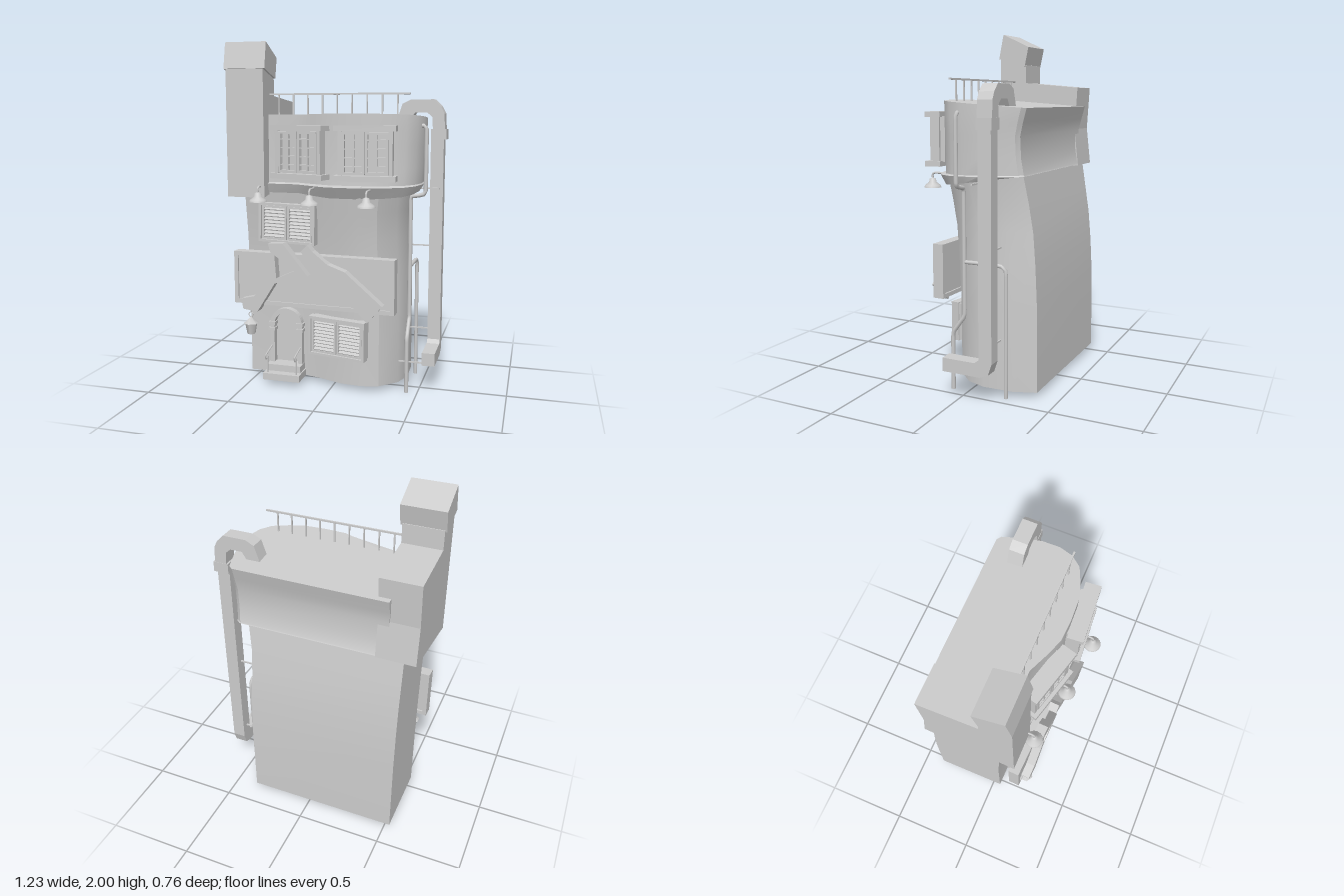
import * as THREE from 'three';
import { toCreasedNormals } from 'three/addons/utils/BufferGeometryUtils.js';

const mat = new THREE.MeshStandardMaterial({ color: 0xcccccc, side: THREE.DoubleSide });
const V = (x, y, z) => new THREE.Vector3(x, y, z);

function add(parent, name, geo, x = 0, y = 0, z = 0) {
  const m = new THREE.Mesh(geo, mat);
  m.name = name;
  m.position.set(x, y, z);
  parent.add(m);
  return m;
}
const box = (p, name, w, h, d, x, y, z) => add(p, name, new THREE.BoxGeometry(w, h, d), x, y, z);

function group(parent, name, x, y, z, ry = 0, rz = 0) {
  const g = new THREE.Group();
  g.name = name;
  g.position.set(x, y, z);
  g.rotation.set(0, ry, rz);
  parent.add(g);
  return g;
}

const shapeOf = pts => new THREE.Shape(pts.map(p => new THREE.Vector2(...p)));
const extrude = (shape, depth) =>
  new THREE.ExtrudeGeometry(shape, { depth, bevelEnabled: false, curveSegments: 10 });

// Outline in (z, y), extruded between two x positions
function sideExtrude(parent, name, pts, x0, x1) {
  return add(parent, name, extrude(shapeOf(pts), x1 - x0).rotateY(-Math.PI / 2), x1);
}

function tube(parent, name, pts, r, sides = 8) {
  const curve = new THREE.CatmullRomCurve3(pts.map(p => V(...p)), false, 'catmullrom', 0.15);
  return add(parent, name, new THREE.TubeGeometry(curve, pts.length * 6, r, sides));
}

// Skin through rings of equal length, closed at both ends
function loft(rings) {
  const n = rings[0].length, idx = [];
  rings.slice(1).forEach((_, r) => {
    for (let i = 0; i < n; i++) {
      const a = r * n + i, b = r * n + (i + 1) % n;
      idx.push(a, a + n, b, b, a + n, b + n);
    }
  });
  const cap = ring => THREE.ShapeUtils.triangulateShape(ring.map(p => new THREE.Vector2(p.x, p.z)), []);
  const top = (rings.length - 1) * n;
  cap(rings[0]).forEach(f => idx.push(...f));
  cap(rings[rings.length - 1]).forEach(([a, b, c]) => idx.push(top + a, top + c, top + b));
  const g = new THREE.BufferGeometry().setFromPoints(rings.flat());
  g.setIndex(idx);
  return toCreasedNormals(g, 0.5);
}

// Rectangular frame of four bars around the origin
function frame(p, name, w, h, t, d, z = 0) {
  for (const s of [-1, 1]) {
    box(p, name, w, t, d, 0, s * (h - t) / 2, z);
    box(p, name, t, h - 2 * t, d, s * (w - t) / 2, 0, z);
  }
}

function louvredWindow(parent, x, y, z, ry, rz) {
  const g = group(parent, 'louvredWindow', x, y, z, ry, rz);
  box(g, 'windowBack', 0.34, 0.22, 0.05, 0, 0, -0.02);
  frame(g, 'windowTrim', 0.355, 0.23, 0.014, 0.05, 0.01);
  for (const s of [-1, 1]) {
    const shutter = group(g, 'shutter', s * 0.081, 0, 0.015);
    frame(shutter, 'shutterFrame', 0.157, 0.198, 0.012, 0.025);
    for (let i = 0; i < 9; i++)
      box(shutter, 'slat', 0.135, 0.005, 0.022, 0, -0.08 + i * 0.02, 0).rotation.x = 0.5;
  }
}

function sashWindow(parent, x, z, ry) {
  const g = group(parent, 'sashWindow', x, 1.385, z, ry);
  for (const s of [-1, 1]) {
    box(g, s > 0 ? 'lintel' : 'sill', 0.34, 0.03, 0.09, 0, s * 0.135, 0);
    box(g, 'jamb', 0.022, 0.24, 0.055, s * 0.139, 0, -0.005);
    const sash = group(g, 'sash', s * 0.064, 0, 0.012);
    frame(sash, 'sashFrame', 0.124, 0.23, 0.013, 0.025);
    box(sash, 'mullion', 0.008, 0.21, 0.018, 0, 0, 0);
    for (let i = 0; i < 4; i++)
      box(sash, 'glazingBar', 0.11, 0.007, 0.018, 0, -0.072 + i * 0.048, 0);
  }
  box(g, 'windowPane', 0.27, 0.25, 0.06, 0, 0, -0.03);
}

function lamp(parent, x, z) {
  const g = group(parent, 'wallLamp', x, 1.1, z);
  const shade = [[0.05, 0], [0.046, 0.012], [0.022, 0.03], [0.018, 0.05], [0.004, 0.056]];
  add(g, 'lampShade', new THREE.LatheGeometry(shade.map(p => new THREE.Vector2(...p)), 16));
  add(g, 'bulb', new THREE.SphereGeometry(0.018, 10, 8), 0, 0.015, 0);
  tube(g, 'lampArm', [[0, 0.05, 0], [0, 0.075, 0], [0, 0.085, -0.015], [0, 0.085, -0.1]], 0.006);
}

export function createModel() {
  const root = new THREE.Group();
  root.name = 'crookedHouse';

  // Lower storeys, leaning forward as they rise
  const lower = [[-0.535, -0.378], [0.36, -0.378], [0.405, -0.25], [0.412, -0.08], [0.375, 0.03],
    [0.28, 0.125], [0.18, 0.152], [0.06, 0.14], [-0.08, 0.09], [-0.2, 0.055], [-0.535, 0.05]];
  const lean = [[0.03, 0, 0], [0.5, 0.004, 0], [0.72, 0.016, -0.004], [0.9, 0.032, -0.01],
    [1.05, 0.055, -0.005], [1.2, 0.078, 0.015]];
  add(root, 'lowerWalls', loft(lean.map(([y, dz, dx]) =>
    lower.map(([x, z]) => V(x > 0 ? x + dx : x, y, z + dz)))));

  // Overhanging top storey with its curved ledge
  const upper = [[-0.45, -0.34], [0.43, -0.34], [0.455, -0.32], [0.49, -0.2], [0.507, -0.1], [0.505, 0],
    [0.48, 0.08], [0.43, 0.14], [0.34, 0.18], [0.25, 0.207], [0.12, 0.213], [0, 0.207], [-0.1, 0.17],
    [-0.21, 0.122], [-0.45, 0.12]];
  const levels = [[1.163, -0.15, 1.03, 0.93, 0.95], [1.2, -0.02, 1.22, 0.95, 0.98], [1.207, -0.02, 1, 0.94, 0.97],
    [1.3, 0, 0.98, 0.9, 0.98], [1.42, 0.02, 0.98, 0.89, 0.99], [1.5, 0.05, 0.99, 0.94, 1], [1.583, 0.075, 1, 1, 1]];
  add(root, 'topStorey', loft(levels.map(([y, k, f, b, s]) => upper.map(([x, z]) => {
    const zz = z * (z > 0 ? f : b);
    return V(x * s, y + k * zz, zz);
  }))));

  // Chimney block and tilted cap
  sideExtrude(root, 'chimney', [[0.2, 1.12], [0.2, 1.86], [0.025, 1.81], [0.025, 1.7], [-0.315, 1.67],
    [-0.3, 1.42], [-0.325, 1.2]], -0.608, -0.382);
  sideExtrude(root, 'chimneyCap', [[0.205, 1.85], [0.175, 2], [0.005, 1.92], [0.03, 1.8]], -0.618, -0.37);

  // Roof railing
  const rail = group(root, 'railing', 0, 0, 0.1);
  box(rail, 'handrail', 0.82, 0.01, 0.01, 0.03, 1.708, 0);
  for (let i = 0; i < 9; i++) box(rail, 'railPost', 0.008, 0.13, 0.008, -0.322 + i * 0.0865, 1.645, 0);

  // Windows and lamps
  sashWindow(root, -0.165, 0.215, -0.26);
  sashWindow(root, 0.225, 0.253, 0.08);
  louvredWindow(root, -0.263, 0.967, 0.125, -0.1, -0.02);
  louvredWindow(root, 0.047, 0.315, 0.162, -0.19, -0.01);
  [[-0.408, 0.235], [-0.08, 0.3], [0.248, 0.328]].forEach(p => lamp(root, ...p));

  // Sign board with crossed timbers
  const sign = group(root, 'signBoard', -0.09, 0.647, 0.195, -0.04);
  box(sign, 'board', 0.95, 0.3, 0.045, 0, 0, 0);
  frame(sign, 'boardEdge', 0.965, 0.31, 0.024, 0.065);
  const brace = shapeOf([[-0.34, 0.865], [-0.25, 0.87], [-0.1, 0.69], [-0.3, 0.635], [-0.41, 0.46],
    [-0.5, 0.47], [-0.51, 0.53], [-0.43, 0.55], [-0.34, 0.66], [-0.3, 0.74]]);
  brace.holes.push(new THREE.Path([[-0.3, 0.8], [-0.18, 0.715], [-0.29, 0.665]].map(p => new THREE.Vector2(...p))));
  const plank = shapeOf([[-0.1, 0.87], [-0.07, 0.835], [0.02, 0.765], [0.12, 0.73], [0.335, 0.55],
    [0.25, 0.45], [0.08, 0.63], [-0.03, 0.71], [-0.14, 0.83]]);
  add(sign, 'brace', extrude(brace, 0.06), 0.09, -0.647, 0.015);
  add(sign, 'plank', extrude(plank, 0.055), 0.09, -0.647, 0.025);

  // Hanging lantern
  const lantern = group(root, 'lantern', -0.47, 0.31, 0.215);
  add(lantern, 'lanternBody', new THREE.CylinderGeometry(0.036, 0.024, 0.065, 6), 0, 0.035, 0);
  add(lantern, 'lanternRoof', new THREE.ConeGeometry(0.045, 0.04, 6), 0, 0.087, 0);
  add(lantern, 'lanternRing', new THREE.TorusGeometry(0.014, 0.003, 6, 14), 0, 0.118, 0);
  tube(lantern, 'lanternHook', [[0, 0.13, 0], [0, 0.19, 0], [0, 0.2, -0.06]], 0.005, 6);

  // Arched doorway with steps and handrails
  const door = group(root, 'doorway', -0.295, 0, 0.05);
  const arch = new THREE.Shape();
  arch.moveTo(-0.1, 0.1).lineTo(-0.1, 0.345).absarc(0, 0.345, 0.1, Math.PI, 0, true);
  arch.lineTo(0.1, 0.1).lineTo(0.073, 0.1).lineTo(0.073, 0.345);
  arch.absarc(0, 0.345, 0.073, 0, Math.PI, false).lineTo(-0.073, 0.1);
  add(door, 'archSurround', extrude(arch, 0.07), 0, 0, -0.02);
  const leaf = new THREE.Shape();
  leaf.moveTo(-0.075, 0.1).lineTo(0.075, 0.1).lineTo(0.075, 0.345).absarc(0, 0.345, 0.075, 0, Math.PI, false);
  add(door, 'doorLeaf', extrude(leaf, 0.03), 0, 0, -0.02);
  box(door, 'lowerStep', 0.225, 0.04, 0.16, 0, 0.05, 0.07);
  box(door, 'upperStep', 0.21, 0.04, 0.11, 0, 0.09, 0.045);
  for (const s of [-1, 1]) {
    for (const y of [0.315, 0.35]) box(door, 'capital', 0.042, 0.018, 0.07, s * 0.087, y, 0.023);
    const x = s * 0.09;
    tube(door, 'stepRail', [[x, 0.07, 0.13], [x, 0.17, 0.13], [x, 0.155, 0.15], [x, 0.18, 0.16], [x, 0.19, 0.135],
      [x, 0.21, 0.05], [x, 0.21, 0]], 0.005, 6);
  }

  // Square duct with hooked top and bottom elbow
  const duct = group(root, 'duct', 0, 0, 0);
  sideExtrude(duct, 'ductRun', [[-0.145, 1.46], [-0.22, 1.46], [-0.22, 0.24], [-0.2, 0.18], [-0.15, 0.16],
    [0.072, 0.16], [0.072, 0.235], [-0.12, 0.235], [-0.145, 0.255]], 0.52, 0.595);
  box(duct, 'ductCollar', 0.09, 0.06, 0.09, 0.565, 1.48, -0.187);
  const hook = shapeOf([[0.6, 1.51], [0.595, 1.6], [0.575, 1.64], [0.535, 1.68], [0.4, 1.68], [0.35, 1.655],
    [0.32, 1.565], [0.4, 1.565], [0.425, 1.605], [0.495, 1.605], [0.525, 1.58], [0.53, 1.51]]);
  add(duct, 'ductHook', extrude(hook, 0.086), 0, 0, -0.23);
  for (const [y, z] of [[0.82, -0.18], [0.31, -0.18], [0.165, 0.04], [1.17, -0.1]])
    box(duct, 'wallBracket', 0.2, 0.008, 0.008, 0.48, y, z);

  // Thin drain pipes
  tube(root, 'drainPipe', [[0.437, 0, 0.095], [0.437, 0.31, 0.095], [0.437, 0.34, 0.085], [0.437, 0.41, 0.035],
    [0.437, 0.45, 0.022], [0.437, 1.11, 0.022], [0.45, 1.135, 0.022], [0.505, 1.145, 0.022], [0.52, 1.17, 0.022],
    [0.52, 1.51, 0.022], [0.51, 1.53, 0.022], [0.46, 1.535, 0.022]], 0.012);
  tube(root, 'branchPipe', [[0.437, 0, -0.228], [0.437, 0.69, -0.228], [0.437, 0.725, -0.205],
    [0.437, 0.73, -0.17], [0.437, 0.73, 0.022]], 0.011);

  return root;
}
